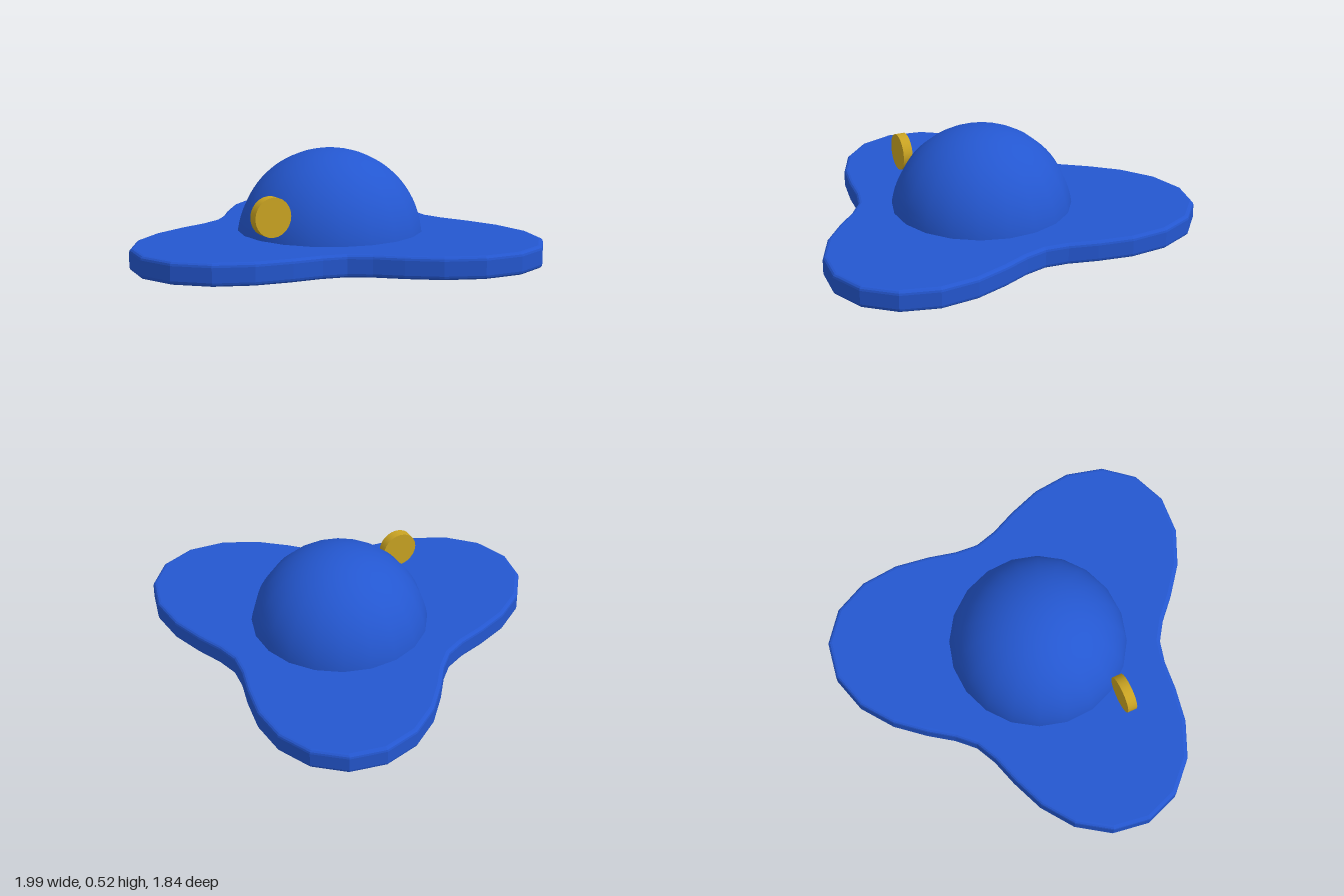
import * as THREE from 'three';

export function createModel() {
  const hat = new THREE.Group();
  hat.name = 'threeCorneredHat';
  const blue = new THREE.MeshStandardMaterial({ color: 0x2457d0 });
  blue.name = 'blue felt';
  const gold = new THREE.MeshStandardMaterial({ color: 0xc9a322 });
  gold.name = 'gold';

  const add = (name, geometry, material, x, y, z) => {
    const mesh = new THREE.Mesh(geometry, material);
    mesh.name = name;
    mesh.position.set(x, y, z);
    hat.add(mesh);
    return mesh;
  };

  const centreZ = 0.165;

  // Brim: three-lobed outline, one lobe pointing back, with a softened edge
  const outline = [];
  for (let i = 0; i < 36; i++) {
    const a = (i / 36) * Math.PI * 2;
    const r = 0.8625 + 0.2275 * Math.cos(3 * a);
    outline.push(new THREE.Vector2(r * Math.sin(-a), r * Math.cos(a)));
  }
  const bevel = 0.02;
  const brim = new THREE.ExtrudeGeometry(new THREE.Shape(outline), {
    depth: 0.11 - 2 * bevel,
    bevelThickness: bevel,
    bevelSize: bevel,
    bevelOffset: -bevel,
    bevelSegments: 3,
  });
  brim.rotateX(-Math.PI / 2);
  add('brim', brim, blue, 0, 0.01 + bevel, centreZ);

  // Crown: sphere cut just below its equator, closed underneath
  const radius = 0.465, lift = 0.06;
  const cut = Math.acos(-lift / radius);
  const crown = new THREE.SphereGeometry(radius, 20, 24, 0, Math.PI * 2, 0, cut);
  add('crown', crown, blue, 0, lift, centreZ);
  const base = new THREE.CircleGeometry(radius * Math.sin(cut), 20);
  base.rotateX(Math.PI / 2);
  add('crownBase', base, blue, 0, 0, centreZ);

  // Badge: round button standing at the front right of the crown
  const badge = new THREE.CylinderGeometry(0.096, 0.096, 0.05, 24);
  badge.rotateX(Math.PI / 2);
  add('badge', badge, gold, -0.333, 0.265, 0.59).rotation.y = 0.42;

  return hat;
}
